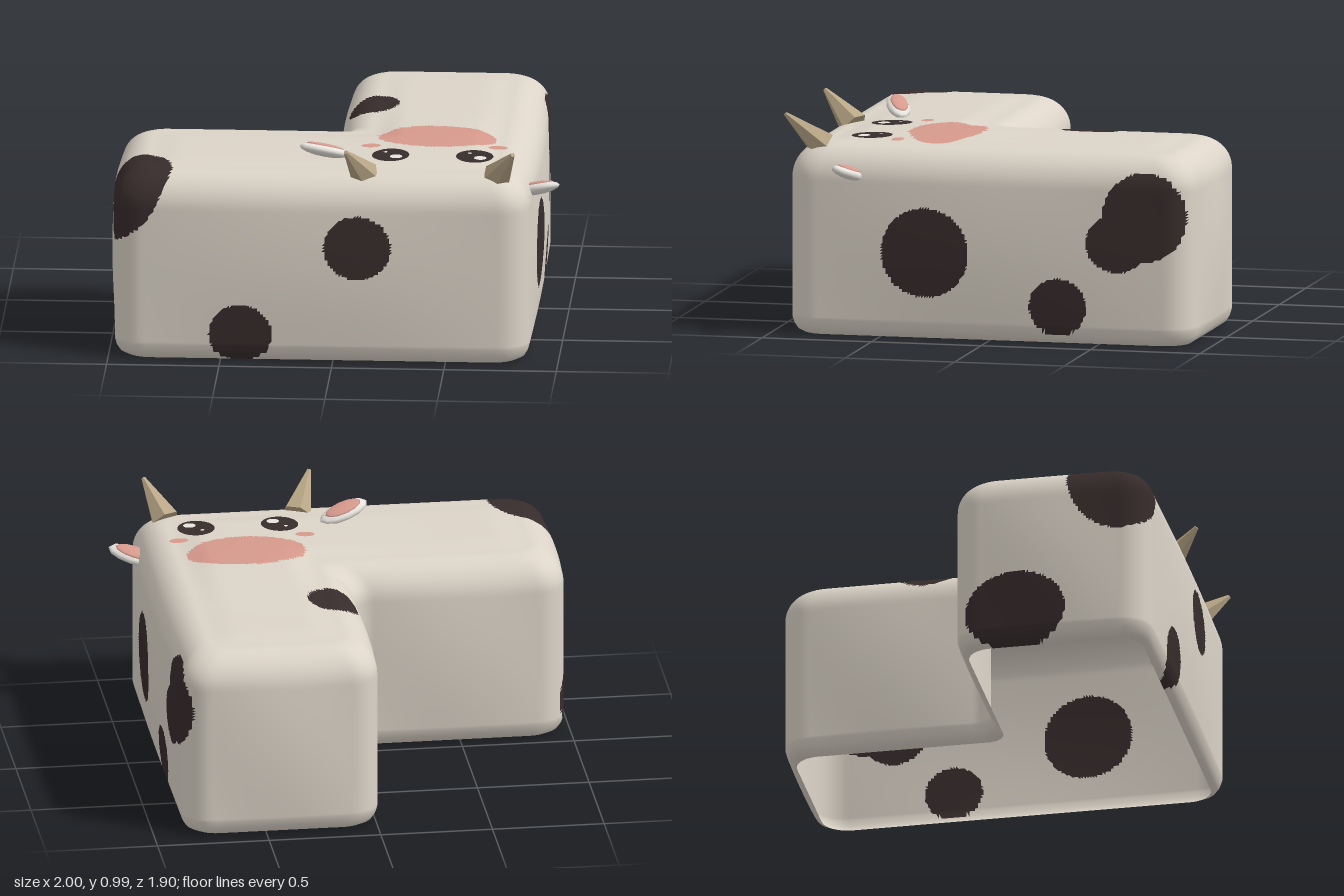
import * as THREE from 'three';

const STEP = 0.0128; // cell size of the body skin
const HALF = 0.44;   // half width of each arm

// Plan outline of the L (x, z), running along the front first, with corner radii
const CORNERS = [
  [-0.975, 0.92, 0.13], [0.87, 0.92, 0.13], [0.87, -0.93, 0.13],
  [-0.01, -0.93, 0.13], [-0.01, 0.04, 0.09], [-0.975, 0.04, 0.13],
];

// Painted patches as ellipsoids: centre, radii
const DARK_SPOTS = [
  [0.11, 0.535, 0.92, 0.15, 0.145, 0.2],
  [-0.41, 0.13, 0.92, 0.14, 0.135, 0.2],
  [-0.95, 0.82, 0.78, 0.23, 0.3, 0.23],
  [-0.98, 0.16, 0.32, 0.2, 0.18, 0.23],
  [0.88, 0.39, 0.285, 0.2, 0.2, 0.2],
  [0.88, 0.165, -0.32, 0.2, 0.13, 0.13],
  [0.88, 0.58, -0.715, 0.2, 0.2, 0.19],
  [0.88, 0.46, -0.59, 0.2, 0.13, 0.14],
  [0.11, 0.86, -0.285, 0.12, 0.15, 0.13],
];
const MUZZLE = [[0.43, 0.86, 0.29, 0.265, 0.2, 0.165]];

const inside = (spots, x, y, z) => spots.some(([cx, cy, cz, rx, ry, rz]) =>
  ((x - cx) / rx) ** 2 + ((y - cy) / ry) ** 2 + ((z - cz) / rz) ** 2 < 1);

// Gently domed top surface
const topY = (x, z) => 0.86 + 0.015 * Math.exp(-((x - 0.4) ** 2 + (z - 0.3) ** 2) / 0.15);

// Section from the open bottom rim up the wall and in to the middle: [inset, y]
function sectionProfile() {
  const p = [[0.045, 0], [0.022, 0.015], [0.008, 0.04]];
  const wall = Math.round(0.63 / STEP);
  for (let i = 0; i < wall; i++) p.push([0, 0.07 + 0.63 * i / wall]);
  for (let i = 0; i < 15; i++) {
    const a = i / 15 * Math.PI / 2;
    p.push([0.14 * (1 - Math.cos(a)), 0.7 + 0.15 * Math.sin(a)]);
  }
  for (let i = 0; i <= 24; i++) p.push([0.14 + (HALF - 0.14) * i / 24, 0.85]);
  return p;
}

// One closed loop round the L at a given inset and height
function outlineLoop(inset, y, out) {
  const n = CORNERS.length;
  const dir = CORNERS.map(([x, z], i) => {
    const [x2, z2] = CORNERS[(i + 1) % n];
    return [Math.sign(x2 - x), Math.sign(z2 - z)];
  });
  const k = 1 - inset / HALF;
  const corner = CORNERS.map(([x, z, r], i) => {
    const a = dir[(i + n - 1) % n], b = dir[i];
    return { a, b, r: r * k, x: x + inset * (a[1] + b[1]), z: z - inset * (a[0] + b[0]) };
  });
  const bulge = inset < 0.14 ? 0.026 * Math.sin(Math.PI * Math.min(1, y / 0.85)) : 0;
  const rise = THREE.MathUtils.smoothstep(inset, 0.14, 0.28);
  const put = (x, z) => out.push(x, y + rise * (topY(x, z) - 0.85), z);
  corner.forEach(({ a, b, r, x, z }, i) => {
    for (let j = 0; j < 10; j++) {
      const t = j / 10 * Math.PI / 2, s = r * (Math.sin(t) - 1), c = r * (1 - Math.cos(t));
      put(x + a[0] * s + b[0] * c, z + a[1] * s + b[1] * c);
    }
    const e = corner[(i + 1) % n], p = CORNERS[i], q = CORNERS[(i + 1) % n];
    const count = Math.round((Math.abs(q[0] - p[0]) + Math.abs(q[1] - p[1]) - 0.22) / STEP);
    const x0 = x + b[0] * r, z0 = z + b[1] * r, x1 = e.x - b[0] * e.r, z1 = e.z - b[1] * e.r;
    for (let j = 0; j < count; j++) {
      const t = j / count, o = bulge * Math.sin(Math.PI * t);
      put(x0 + (x1 - x0) * t - b[1] * o, z0 + (z1 - z0) * t + b[0] * o);
    }
  });
}

// L-shaped shell whose faces are grouped by patch colour
function bodyGeometry() {
  const pos = [], rows = sectionProfile();
  rows.forEach(([d, y]) => outlineLoop(d, y, pos));
  const n = pos.length / 3 / rows.length, faces = [[], [], []];
  const addFace = (...t) => {
    const [x, y, z] = [0, 1, 2].map(c => (pos[t[0] * 3 + c] + pos[t[1] * 3 + c] + pos[t[2] * 3 + c]) / 3);
    faces[inside(DARK_SPOTS, x, y, z) ? 1 : inside(MUZZLE, x, y, z) ? 2 : 0].push(...t);
  };
  for (let v = 0; v < rows.length - 1; v++) {
    for (let u = 0; u < n; u++) {
      const a = v * n + u, b = v * n + (u + 1) % n;
      addFace(a, b, b + n);
      addFace(a, b + n, a + n);
    }
  }
  const geo = new THREE.BufferGeometry();
  geo.setAttribute('position', new THREE.Float32BufferAttribute(pos, 3));
  geo.setIndex(faces.flat());
  let start = 0;
  faces.forEach((f, i) => { geo.addGroup(start, f.length, i); start += f.length; });
  geo.computeVertexNormals();
  return geo;
}

export function createModel() {
  const material = (name, color, extra) => {
    const m = new THREE.MeshStandardMaterial({ color, ...extra });
    m.name = name;
    return m;
  };
  const both = { side: THREE.DoubleSide };
  const cream = material('cream hide', 0xdcd4c8, both);
  const dark = material('dark patches', 0x382c2c, both);
  const pink = material('pink skin', 0xd6998c, both);
  const white = material('white', 0xf0ece6);
  const horn = material('horn', 0xb9a787);

  const model = new THREE.Group();
  model.name = 'cow corner block';
  const add = (parent, name, geo, mat) => {
    const mesh = new THREE.Mesh(geo, mat);
    mesh.name = name;
    parent.add(mesh);
    return mesh;
  };

  add(model, 'body', bodyGeometry(), [cream, dark, pink]);

  // Thin flat ovals painted on the top
  const oval = (name, x, z, rx, rz, mat, lift) => {
    const geo = new THREE.CircleGeometry(1, 28).rotateX(-Math.PI / 2).scale(rx, 1, rz);
    const p = geo.attributes.position;
    for (let i = 0; i < p.count; i++) p.setY(i, topY(x + p.getX(i), z + p.getZ(i)) + lift);
    add(model, name, geo, mat).position.set(x, 0, z);
  };
  for (const [side, x] of [['right', 0.24], ['left', 0.614]]) {
    oval(side + 'Eye', x, 0.59, 0.083, 0.092, dark, 0.003);
    oval(side + 'EyeGlint', x + 0.026, 0.62, 0.028, 0.028, white, 0.006);
    oval(side + 'EyeSpark', x - 0.024, 0.555, 0.009, 0.009, white, 0.006);
  }
  oval('rightCheek', 0.145, 0.45, 0.043, 0.028, pink, 0.003);
  oval('leftCheek', 0.71, 0.45, 0.043, 0.028, pink, 0.003);

  // Horns leaning forward and outward
  const up = new THREE.Vector3(0, 1, 0);
  for (const [name, bx, tx] of [['rightHorn', 0.135, 0.06], ['leftHorn', 0.725, 0.803]]) {
    const base = new THREE.Vector3(bx, 0.835, 0.79), tip = new THREE.Vector3(tx, 0.98, 0.94);
    const axis = tip.clone().sub(base), len = axis.length();
    const geo = new THREE.CylinderGeometry(0.01, 0.068, len, 6).toNonIndexed();
    geo.computeVertexNormals();
    const mesh = add(model, name, geo, horn);
    mesh.position.copy(base).addScaledVector(axis, 0.5);
    mesh.quaternion.setFromUnitVectors(up, axis.normalize());
  }

  // Leaf-shaped ears with a pink lining
  for (const [name, s, x, y] of [['rightEar', -1, -0.052, 0.898], ['leftEar', 1, 0.888, 0.737]]) {
    const ear = new THREE.Group();
    ear.name = name;
    add(ear, 'earShell', new THREE.SphereGeometry(1, 12, 8).scale(0.118, 0.028, 0.055), white);
    add(ear, 'earLining', new THREE.SphereGeometry(1, 12, 8).scale(0.088, 0.012, 0.041), pink)
      .position.y = 0.0195;
    ear.position.set(x, y, 0.632);
    ear.rotation.set(-0.25, -s * 0.38, s * 0.18);
    model.add(ear);
  }
  return model;
}
